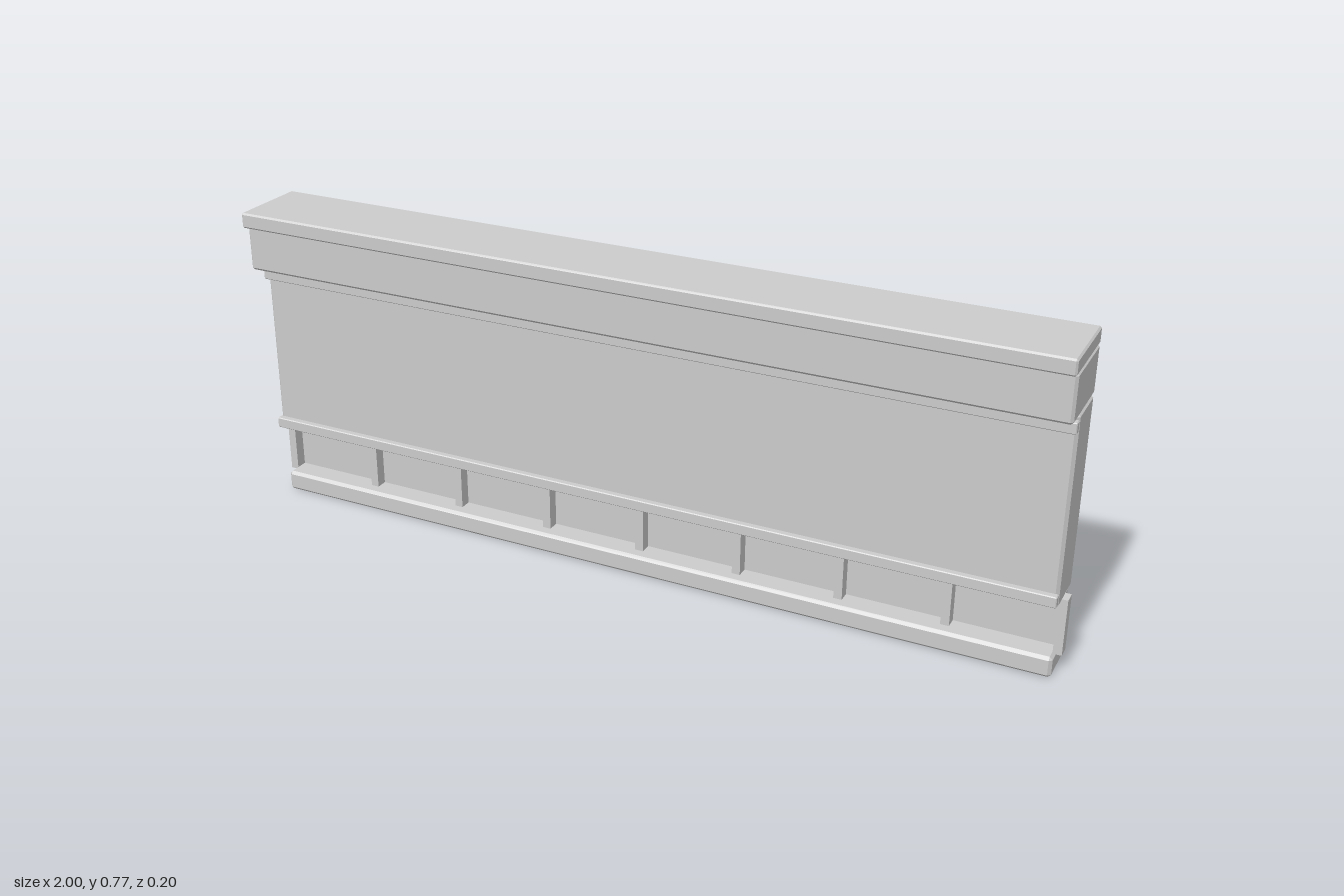
import * as THREE from 'three';
import { ConvexGeometry } from 'three/addons/geometries/ConvexGeometry.js';

const material = new THREE.MeshStandardMaterial({ color: 0xcccccc, flatShading: true });
const HALF_LENGTH = 0.987;

// Box with every edge cut at 45 degrees, given by its y and z limits
function chamferedBar(name, y0, y1, z0, z1, c) {
  const half = [HALF_LENGTH, (y1 - y0) / 2, (z1 - z0) / 2];
  const points = [];
  for (const sx of [-1, 1]) for (const sy of [-1, 1]) for (const sz of [-1, 1]) {
    for (let axis = 0; axis < 3; axis++) {
      const p = half.map((h, i) => (i === axis ? h : h - c));
      points.push(new THREE.Vector3(sx * p[0], sy * p[1], sz * p[2]));
    }
  }
  const mesh = new THREE.Mesh(new ConvexGeometry(points), material);
  mesh.name = name;
  mesh.position.set(0, (y0 + y1) / 2, (z0 + z1) / 2);
  return mesh;
}

function box(name, width, y0, y1, z0, z1, x = 0) {
  const mesh = new THREE.Mesh(new THREE.BoxGeometry(width, y1 - y0, z1 - z0), material);
  mesh.name = name;
  mesh.position.set(x, (y0 + y1) / 2, (z0 + z1) / 2);
  return mesh;
}

export function createModel() {
  const model = new THREE.Group();
  model.name = 'parapetWall';

  // Stacked bars sharing one back plane
  model.add(
    chamferedBar('basePlinth', 0, 0.05, -0.098, 0.01, 0.007),
    chamferedBar('mainPanel', 0.175, 0.62, -0.098, 0.02, 0.007),
    chamferedBar('frieze', 0.62, 0.73, -0.098, 0.079, 0.006),
    chamferedBar('topCap', 0.73, 0.767, -0.098, 0.098, 0.004)
  );

  // Trim rails on the face of the main panel
  model.add(
    chamferedBar('lowerRail', 0.186, 0.212, 0.017, 0.035, 0.002),
    chamferedBar('upperRail', 0.582, 0.608, 0.017, 0.035, 0.002)
  );

  // Recessed strip with its row of upright dividers
  model.add(box('recessedPanel', 2 * HALF_LENGTH, 0.045, 0.18, -0.067, -0.048));
  const dividers = new THREE.Group();
  dividers.name = 'dividers';
  for (let i = -4; i <= 4; i++) {
    dividers.add(box('divider', 0.02, 0.045, 0.18, -0.05, -0.02, i * 0.2475));
  }
  model.add(dividers);

  return model;
}
